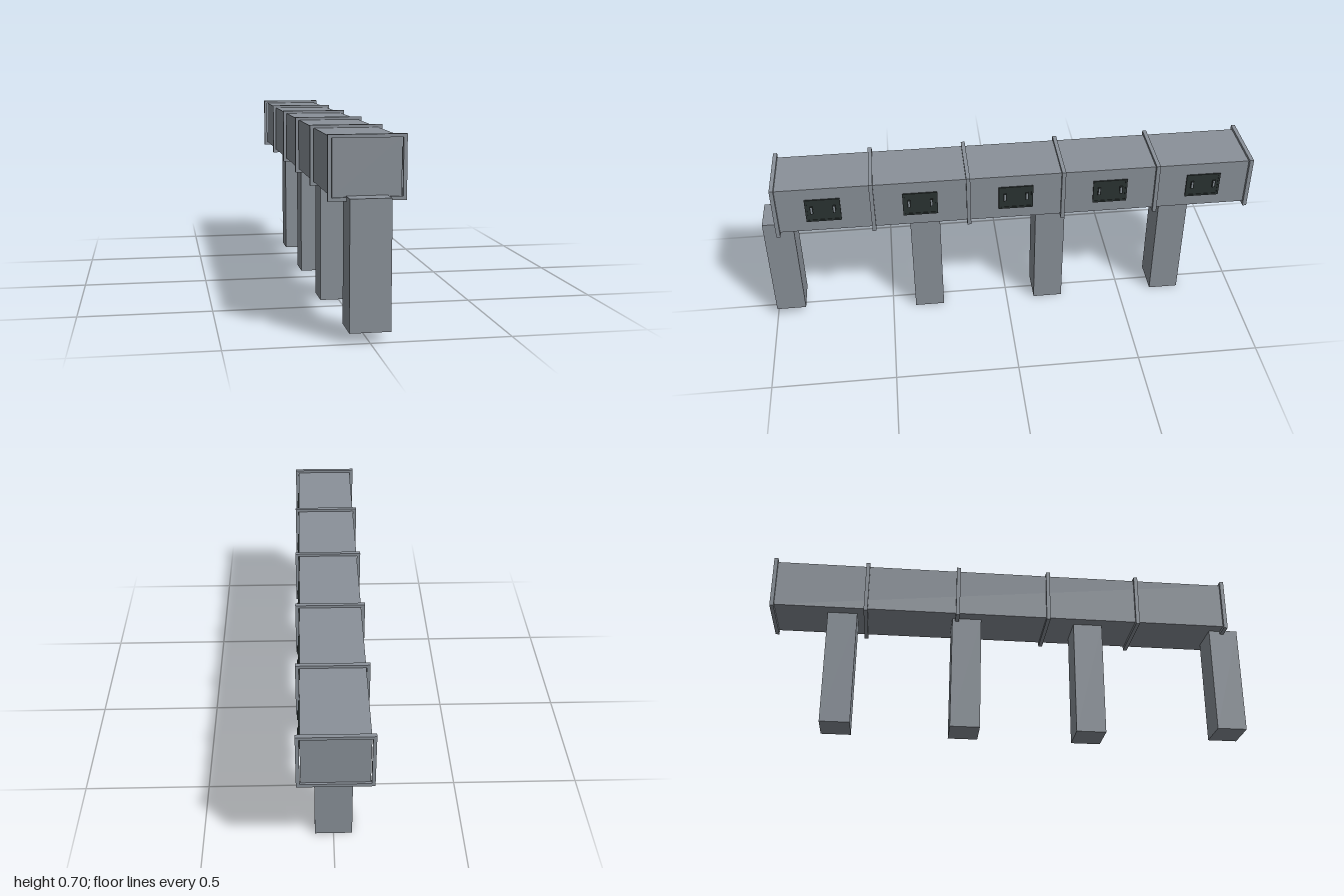
import * as THREE from 'three';

const steel = new THREE.MeshStandardMaterial({ color: 0x8a9199 });
steel.name = 'steelGrey';
const dark = new THREE.MeshStandardMaterial({ color: 0x2b3332 });
dark.name = 'hatchDark';

// Axis-aligned box from its min and max on each axis
function block(name, material, [x0, x1], [y0, y1], [z0, z1]) {
  const mesh = new THREE.Mesh(new THREE.BoxGeometry(x1 - x0, y1 - y0, z1 - z0), material);
  mesh.position.set((x0 + x1) / 2, (y0 + y1) / 2, (z0 + z1) / 2);
  mesh.name = name;
  return mesh;
}

function rectPoints(x, y0, y1) {
  return [[-x, y0], [x, y0], [x, y1], [-x, y1]].map(([a, b]) => new THREE.Vector2(a, b));
}

// Rectangular flange, open in the middle
function flangeGeometry(depth) {
  const shape = new THREE.Shape(rectPoints(0.136, 0.477, 0.702));
  shape.holes.push(new THREE.Path(rectPoints(0.123, 0.49, 0.69)));
  return new THREE.ExtrudeGeometry(shape, { depth, bevelEnabled: false });
}

// Access hatch on the left side: plate, raised rim and two handles
function hatch(z) {
  const group = new THREE.Group();
  group.name = 'hatch';
  const hz = 0.07, y0 = 0.537, y1 = 0.641, rim = 0.008;
  group.add(block('hatchPlate', dark, [0.117, 0.124], [y0, y1], [z - hz, z + hz]));
  for (const s of [-1, 1]) {
    const a = z + s * hz, b = z + s * (hz - rim);
    group.add(block('hatchRimSide', dark, [0.118, 0.126], [y0, y1], [Math.min(a, b), Math.max(a, b)]));
    const h = z + s * 0.045;
    group.add(block('hatchHandleBase', dark, [0.12, 0.13], [0.577, 0.61], [h - 0.006, h + 0.006]));
    group.add(block('hatchHandle', steel, [0.12, 0.1305], [0.579, 0.608], [h - 0.003, h + 0.003]));
  }
  group.add(block('hatchRimBottom', dark, [0.118, 0.126], [y0, y0 + rim], [z - hz, z + hz]));
  group.add(block('hatchRimTop', dark, [0.118, 0.126], [y1 - rim, y1], [z - hz, z + hz]));
  return group;
}

export function createModel() {
  const model = new THREE.Group();
  model.name = 'ductOnPillars';

  // Long rectangular duct
  model.add(block('duct', steel, [-0.1205, 0.1205], [0.49, 0.691], [-0.991, 0.931]));

  // Flanges at both ends and at each joint
  const depth = 0.016;
  const flange = flangeGeometry(depth);
  for (let i = 0; i < 6; i++) {
    const mesh = new THREE.Mesh(flange, steel);
    mesh.position.z = -1 + i * 0.3848;
    mesh.name = 'flange';
    model.add(mesh);
  }

  // One hatch per section
  for (let i = 0; i < 5; i++) model.add(hatch(0.743 - i * 0.3865));

  // Supporting pillars, the front one slightly shorter
  const pillars = [[0.877, 1, 0.037, 0.494], [0.279, 0.402, 0, 0.492], [-0.242, -0.119, 0, 0.492], [-0.766, -0.643, 0, 0.492]];
  for (const [z0, z1, y0, y1] of pillars) {
    model.add(block('pillar', steel, [-0.072, 0.072], [y0, y1], [z0, z1]));
  }
  return model;
}
